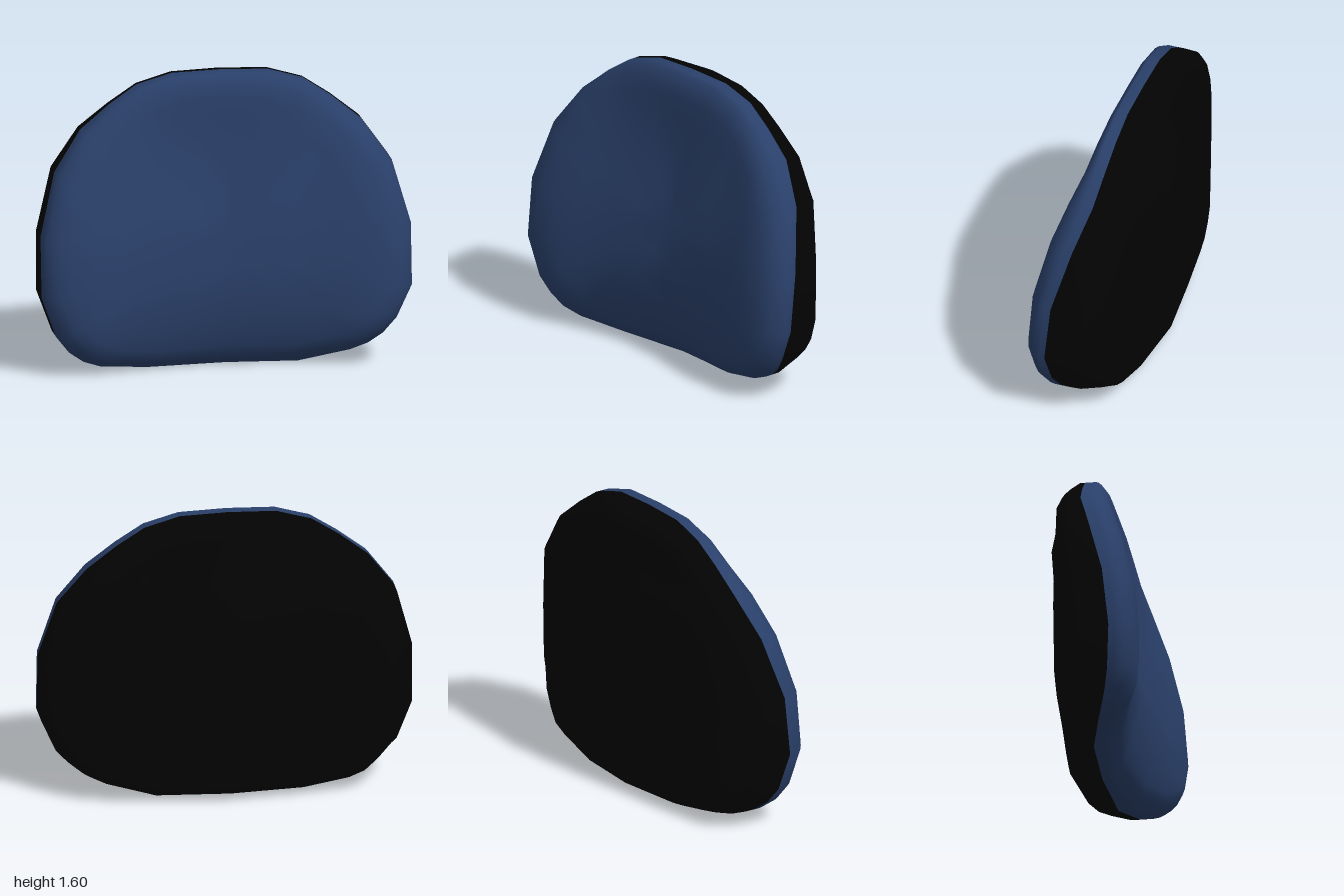
import * as THREE from 'three';

// Linear lookup in a small [position, value] table
function lookup(table, t) {
  if (t <= table[0][0]) return table[0][1];
  for (let i = 1; i < table.length; i++) {
    const [t0, v0] = table[i - 1], [t1, v1] = table[i];
    if (t <= t1) return v0 + (v1 - v0) * (t - t0) / (t1 - t0);
  }
  return table[table.length - 1][1];
}

// Rim outline, anticlockwise from the bottom: x, y, seam z
const outline = [
  [0, 0, -0.05], [0.41, 0, -0.03], [0.68, 0.07, 0.04], [0.77, 0.11, 0.07],
  [0.85, 0.17, 0.1], [0.92, 0.26, 0.13], [1, 0.44, 0.145], [1, 0.77, 0.11],
  [0.91, 1.1, 0.02], [0.76, 1.31, -0.045], [0.6, 1.44, -0.06], [0.45, 1.54, -0.07],
  [0.26, 1.595, -0.07], [0, 1.603, -0.07], [-0.26, 1.595, -0.07], [-0.45, 1.54, -0.07],
  [-0.6, 1.44, -0.06], [-0.76, 1.31, -0.045], [-0.91, 1.1, 0.02], [-1, 0.77, 0.11],
  [-1, 0.44, 0.145], [-0.92, 0.22, 0.125], [-0.85, 0.13, 0.1], [-0.77, 0.07, 0.07],
  [-0.68, 0.035, 0.04], [-0.41, 0, -0.03],
];
const MID_Y = 0.75;

// Cushion face: leans back towards the top and is hollow across the middle
const ridge = [[0, 0.19], [0.13, 0.235], [0.25, 0.265], [0.44, 0.277], [0.77, 0.25],
  [1.1, 0.175], [1.45, 0.075], [1.57, 0.038], [1.6, 0.025]];
const hollow = [[0, 0.155], [0.2, 0.145], [0.44, 0.125], [0.77, 0.125], [1.1, 0.105],
  [1.3, 0.065], [1.45, 0.025], [1.55, 0]];
const across = [[0, 1], [0.5, 0.5], [0.73, 0]];
const frontZ = (x, y) => lookup(ridge, y) - lookup(hollow, y) * lookup(across, Math.abs(x));

// Height of the cushion's upright edge in front of the seam
const edge = [[0, 0.04], [0.3, 0.03], [0.8, 0.03], [1.3, 0.05], [1.6, 0.06]];

// Back shell: wraps forward at the sides and slightly at top and bottom
const wrap = [[0, -0.275], [0.3, -0.245], [0.72, -0.208], [0.88, -0.14], [0.98, -0.06], [1, -0.03]];
const lift = [[0, 0.05], [0.07, 0.045], [0.22, 0.02], [0.45, 0.005], [0.77, 0], [1.1, 0],
  [1.3, 0.03], [1.52, 0.05]];
const backZ = (x, y) => lookup(wrap, Math.abs(x)) + lookup(lift, y);

// Surface made of concentric rings about a centre point
function ringSurface(rings, zAt, centreZ, facesBack) {
  const n = outline.length;
  const positions = [0, MID_Y, centreZ];
  const index = [];
  const tri = (a, b, c) => index.push(...(facesBack ? [a, c, b] : [a, b, c]));
  rings.forEach((ring, r) => {
    outline.forEach(([ox, oy, seam], i) => {
      const x = ox * ring.s, y = MID_Y + (oy - MID_Y) * ring.s;
      positions.push(x, y, zAt(x, y, seam, ring, ox));
      const j = (i + 1) % n;
      const outer = 1 + r * n, inner = outer - n;
      if (r === 0) tri(0, outer + i, outer + j);
      else {
        tri(inner + i, outer + i, outer + j);
        tri(inner + i, outer + j, inner + j);
      }
    });
  });
  const geometry = new THREE.BufferGeometry();
  geometry.setAttribute('position', new THREE.Float32BufferAttribute(positions, 3));
  geometry.setIndex(index);
  geometry.computeVertexNormals();
  return geometry;
}

export function createModel() {
  const group = new THREE.Group();
  group.name = 'backrest';
  const fabric = new THREE.MeshStandardMaterial({ color: 0x2a406a });
  fabric.name = 'blue fabric';
  const plastic = new THREE.MeshStandardMaterial({ color: 0x030303 });
  plastic.name = 'black plastic';

  // Padded front, rounded over to an upright edge that meets the seam
  const frontRings = [0.2, 0.4, 0.6, 0.74, 0.85, 0.91, 0.95, 0.98, 0.995, 1].map((s) => ({ s }));
  frontRings.push({ s: 1, atSeam: true });
  const cushionGeometry = ringSurface(frontRings, (x, y, seam, { s, atSeam }) => {
    if (atSeam) return seam;
    const base = seam + lookup(edge, y);
    const t = Math.max(0, (s - 0.85) / 0.15);
    return base + (frontZ(x, y) - base) * Math.sqrt(Math.max(0, 1 - t * t));
  }, frontZ(0, MID_Y), false);
  const cushion = new THREE.Mesh(cushionGeometry, fabric);
  cushion.name = 'cushion';

  // Rear shell: rounded back, a chamfer, then a short wall forward to the seam
  const backRings = [
    { s: 0.2, k: 1 }, { s: 0.4, k: 1 }, { s: 0.6, k: 1 }, { s: 0.78, k: 1 }, { s: 0.88, k: 1 },
    { s: 0.94, k: 0.98 }, { s: 0.97, k: 0.68 }, { s: 1, k: 0.24 }, { s: 1, k: 0 },
  ];
  const shellGeometry = ringSurface(backRings, (x, y, seam, { k }, ox) => {
    // The wall deepens towards the widest part of the sides, sooner above than below
    const start = y > MID_Y ? 0.55 : 0.85;
    const side = Math.max(0, (Math.abs(ox) - start) / (1 - start));
    const depth = k === 0 ? 0 : k + (1 - k) * side;
    return seam + (backZ(x, y) - seam) * depth;
  }, backZ(0, MID_Y), true);
  const shell = new THREE.Mesh(shellGeometry, plastic);
  shell.name = 'backShell';

  group.add(cushion, shell);
  return group;
}
